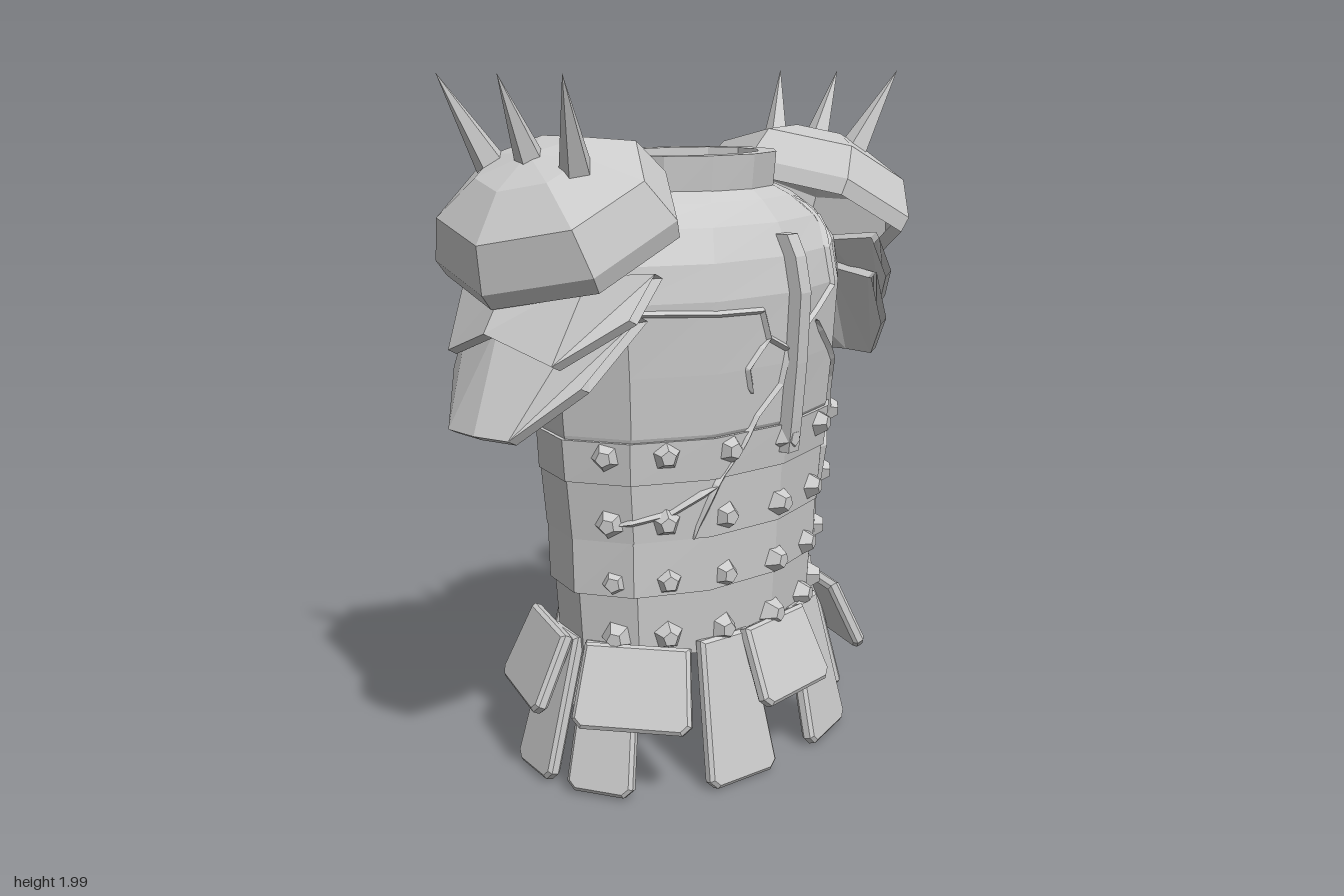
import * as THREE from 'three';

const V = (x, y, z) => new THREE.Vector3(x, y, z);
const mat = new THREE.MeshStandardMaterial({ color: 0xcccccc, flatShading: true, side: THREE.DoubleSide });
const SIDES = 12;

function add(parent, geometry, name) {
  const mesh = new THREE.Mesh(geometry, mat);
  mesh.name = name;
  parent.add(mesh);
  return mesh;
}

// Skin a list of closed cross-sections
function loft(rings) {
  const pos = [], n = rings[0].length;
  for (let i = 0; i < rings.length - 1; i++) {
    for (let j = 0; j < n; j++) {
      const k = (j + 1) % n;
      const a = rings[i][j], b = rings[i][k], c = rings[i + 1][k], d = rings[i + 1][j];
      for (const p of [a, b, c, a, c, d]) pos.push(p.x, p.y, p.z);
    }
  }
  const g = new THREE.BufferGeometry();
  g.setAttribute('position', new THREE.Float32BufferAttribute(pos, 3));
  g.computeVertexNormals();
  return g;
}

// Body sections as [y, half width, front depth]
const bands = [
  [[0.38, 0.475, 0.31], [0.58, 0.49, 0.32]],
  [[0.57, 0.51, 0.325], [0.74, 0.515, 0.33]],
  [[0.73, 0.515, 0.335], [0.91, 0.535, 0.345]],
  [[0.90, 0.54, 0.352], [1.02, 0.55, 0.365]],
];
const chest = [[0.99, 0.53, 0.335], [1.03, 0.54, 0.36], [1.2, 0.555, 0.375], [1.4, 0.575, 0.385],
  [1.5, 0.56, 0.365], [1.59, 0.475, 0.32], [1.65, 0.37, 0.265], [1.68, 0.285, 0.225]];
const profile = [...bands.flat(), ...chest.slice(1)].sort((a, b) => a[0] - b[0]);

// Corner of a section; the back is flatter than the front.
function corner(i, y, rx, rz) {
  const a = i / SIDES * Math.PI * 2, c = Math.cos(a);
  return V(Math.sin(a) * rx, y, c * (c < 0 ? Math.min(rz - 0.008, 0.34) : rz));
}
const ring = ([y, rx, rz]) => Array.from({ length: SIDES }, (_, i) => corner(i, y, rx, rz));

// Point on the faceted body: 0 degrees is the front, 90 the model's left.
function onBody(deg, y, off = 0) {
  let i = 0;
  while (i < profile.length - 2 && profile[i + 1][0] < y) i++;
  const [y0, x0, z0] = profile[i], [y1, x1, z1] = profile[i + 1];
  const t = THREE.MathUtils.clamp((y - y0) / (y1 - y0), 0, 1);
  const rx = x0 + (x1 - x0) * t, rz = z0 + (z1 - z0) * t;
  const s = deg / 360 * SIDES, k = Math.floor(s);
  const p = corner(k, y, rx, rz).lerp(corner(k + 1, y, rx, rz), s - k);
  const a = THREE.MathUtils.degToRad(deg);
  return p.add(V(Math.sin(a) * off, 0, Math.cos(a) * off));
}

// Cone from a base point toward a tip
function spike(parent, base, tip, r, name) {
  const dir = tip.clone().sub(base);
  const mesh = add(parent, new THREE.ConeGeometry(r, dir.length(), 5), name);
  mesh.position.copy(base).lerp(tip, 0.5);
  mesh.quaternion.setFromUnitVectors(V(0, 1, 0), dir.normalize());
}

// Raised jagged seam running over the body through [degrees, y] points
function crack(parent, path, width = 0.013) {
  const rings = [];
  path.slice(0, -1).forEach(([d0, y0], i) => {
    const [d1, y1] = path[i + 1];
    const dx = (d1 - d0) * 0.0085, dy = y1 - y0, len = Math.hypot(dx, dy);
    for (let j = 0; j <= 3; j++) {
      const t = j / 3, d = d0 + (d1 - d0) * t, y = y0 + dy * t;
      const end = (i === 0 && j === 0) || (i === path.length - 2 && j === 3);
      const w = end ? 0.004 : width, pd = -dy / len * w / 0.0085, py = dx / len * w;
      rings.push([onBody(d - pd, y - py, -0.005), onBody(d, y, 0.012), onBody(d + pd, y + py, -0.005)]);
    }
  });
  add(parent, loft(rings), 'crack');
}

// Hanging plate with clipped lower corners, pivoting at its top edge
function strap(parent, pos, dir, tilt, len, top, bottom, name) {
  const c = 0.025, b = bottom / 2, t = top / 2;
  const s = new THREE.Shape([[-t, 0], [t, 0], [b, c - len], [b - c, -len], [c - b, -len], [-b, c - len]]
    .map(([x, y]) => new THREE.Vector2(x, y)));
  const g = new THREE.ExtrudeGeometry(s, {
    depth: 0.02, bevelEnabled: true, bevelSegments: 1, bevelSize: 0.01, bevelThickness: 0.01, bevelOffset: -0.01,
  });
  const mesh = add(parent, g, name);
  mesh.position.copy(pos);
  mesh.rotation.set(-tilt, Math.atan2(dir[0], dir[1]), 0, 'YXZ');
}

// Curved plate from half-profiles of [x, y, z], mirrored front to back and thickened
function lame(parent, side, upper, lower, name) {
  const row = (pts, dx, dy) => [...pts, ...pts.slice(0, -1).reverse().map(([x, y, z]) => [x, y, -z])]
    .map(([x, y, z]) => V(side * (x + dx), y + dy, z));
  const a = row(upper, 0, 0), b = row(lower, 0, 0), c = row(lower, -0.03, -0.015), d = row(upper, -0.03, -0.015);
  add(parent, loft(a.map((_, i) => [a[i], b[i], c[i], d[i]])), name);
}

function pauldron(side) {
  const g = new THREE.Group();
  g.name = side > 0 ? 'leftPauldron' : 'rightPauldron';
  // Tilted seven-sided dome with a turned-in rim, sections as [radius scale, height];
  // both domes keep a corner toward -x.
  const along = V(0.88, -0.475, 0), up = V(0.475, 0.88, 0);
  const center = side > 0 ? V(0.555, 1.555, 0) : V(0.53, 1.565, 0);
  const rings = [[0.9, 0.02], [0.99, -0.01], [1.02, 0.04], [0.87, 0.16], [0.46, 0.238], [0, 0.262]]
    .map(([r, h]) => Array.from({ length: 7 }, (_, i) => {
      const a = i / 7 * Math.PI * 2;
      const p = center.clone().addScaledVector(along, -side * Math.cos(a) * r * 0.315).addScaledVector(up, h);
      return V(side * p.x, p.y, Math.sin(a) * r * 0.36);
    }));
  add(g, loft(rings), 'shoulderDome');
  // Overlapping arm plates
  lame(g, side, [[0.53, 1.50, 0.32], [0.67, 1.5, 0.22], [0.75, 1.47, 0]],
    [[0.62, 1.39, 0.31], [0.78, 1.28, 0.19], [0.83, 1.35, 0]], 'upperArmPlate');
  lame(g, side, [[0.56, 1.39, 0.295], [0.69, 1.37, 0.2], [0.77, 1.38, 0]],
    [[0.72, 1.22, 0.235], [0.86, 1.09, 0.11], [0.875, 1.09, 0]], 'lowerArmPlate');
  for (const k of [-1, 0, 1]) {
    spike(g, V(side * 0.625, 1.735, k * 0.145), V(side * 0.76, 2, k * 0.225), 0.05, 'shoulderSpike');
  }
  return g;
}

export function createModel() {
  const model = new THREE.Group();
  model.name = 'armor';

  // Breastplate, belly bands, waist floor and collar
  add(model, loft(chest.map(ring)), 'breastplate');
  bands.forEach(([a, b]) => {
    const inner = ([y, x, z]) => [y, x - 0.03, z - 0.03];
    add(model, loft([inner(a), a, b, inner(b)].map(ring)), 'bellyBand');
  });
  add(model, loft([[0.4, 0.47, 0.305], [0.4, 0, 0.008]].map(ring)), 'waistFloor');
  add(model, loft([[1.64, 0.285, 0.225], [1.775, 0.292, 0.238], [1.775, 0.235, 0.188], [1.7, 0.23, 0.183],
    [1.7, 0, 0.008]].map(ring)), 'collar');

  // Central ridge following the chest
  const ridge = [0.94, 1.03, 1.2, 1.4, 1.5, 1.56].map((y) => {
    const z = onBody(0, y).z;
    return [V(-0.025, y, z - 0.03), V(-0.025, y, z + 0.035), V(0.025, y, z + 0.035), V(0.025, y, z - 0.03)];
  });
  const capped = (r) => r.map(() => r[0].clone().lerp(r[2], 0.5));
  add(model, loft([capped(ridge[0]), ...ridge, capped(ridge[5])]), 'chestRidge');

  // Faceted studs across the front of each band
  for (const y of [0.98, 0.785, 0.61, 0.445]) {
    for (let i = -3; i <= 3; i++) {
      const p = onBody(i * 23.5, y);
      const stud = add(model, new THREE.CylinderGeometry(0.022, 0.048, 0.045, 5), 'stud');
      stud.position.copy(onBody(i * 23.5, y, 0.012));
      stud.quaternion.setFromUnitVectors(V(0, 1, 0), V(p.x / 0.29, 0, p.z / 0.13).normalize());
    }
  }

  // Battle cracks over front, sides and back
  [
    [[-68, 1.38], [-38, 1.37], [-13, 1.36], [-10, 1.28], [-2, 1.24], [-4, 1.14], [-13, 1.06], [-19, 0.97], [-28, 0.88], [-37, 0.73]],
    [[-68, 0.78], [-45, 0.81], [-28, 0.88]],
    [[-10, 1.28], [-18, 1.2], [-16, 1.13]],
    [[3, 1.27], [15, 1.33], [25, 1.39], [25, 1.5], [33, 1.58], [40, 1.64]],
    [[25, 1.5], [38, 1.55], [48, 1.58]],
    [[15, 1.3], [27, 1.2], [37, 1.1], [45, 0.95], [57, 0.96], [70, 1.0], [85, 0.95], [105, 0.94], [118, 0.98], [138, 1.08], [150, 1.2]],
    [[45, 0.95], [38, 0.88], [41, 0.75]],
    [[105, 0.94], [96, 0.82], [88, 0.74]],
    [[70, 1.0], [78, 1.1], [88, 1.15]],
    [[172, 1.62], [168, 1.5], [160, 1.4], [166, 1.28], [150, 1.2], [132, 1.36], [120, 1.4]],
    [[166, 1.28], [185, 1.2], [202, 1.24], [215, 1.12], [235, 1.1]],
    [[202, 1.24], [212, 1.38], [225, 1.42]],
  ].forEach((path) => crack(model, path));

  // Raised strip and row of spikes over the upper back
  const strip = Array.from({ length: 9 }, (_, i) => 135 + i * 11.25)
    .map((d) => [[1.48, -0.01], [1.48, 0.015], [1.55, 0.015], [1.55, -0.01]].map(([y, o]) => onBody(d, y, o)));
  add(model, loft(strip), 'backStrip');
  for (let i = 0; i < 6; i++) {
    const x = (i - 2.5) * 0.125, bend = x * x * 0.55;
    spike(model, V(x, 1.535, -0.285 + bend), V(x, 1.575, -0.43 + bend), 0.036, 'backSpike');
  }

  // Skirt: a long lower layer and a short upper layer
  for (const f of [1, -1]) {
    strap(model, V(0, 0.425, f * 0.305), [0, f], 0.42, 0.235, 0.28, 0.32, 'upperSkirtPlate');
    for (const s of [1, -1]) {
      strap(model, V(s * 0.42, 0.425, f * 0.16), [s * 0.87, f * 0.48], 0.43, 0.24, 0.3, 0.34, 'upperSkirtPlate');
      strap(model, V(s * 0.19, 0.42, f * 0.27), [s * 0.2, f * 0.98], 0.22, 0.425, 0.18, 0.25, 'lowerSkirtPlate');
      strap(model, V(s * 0.435, 0.42, f * 0.085), [s * 0.94, f * 0.32], 0.26, 0.425, 0.16, 0.2, 'lowerSkirtPlate');
    }
  }

  model.add(pauldron(1), pauldron(-1));
  return model;
}
